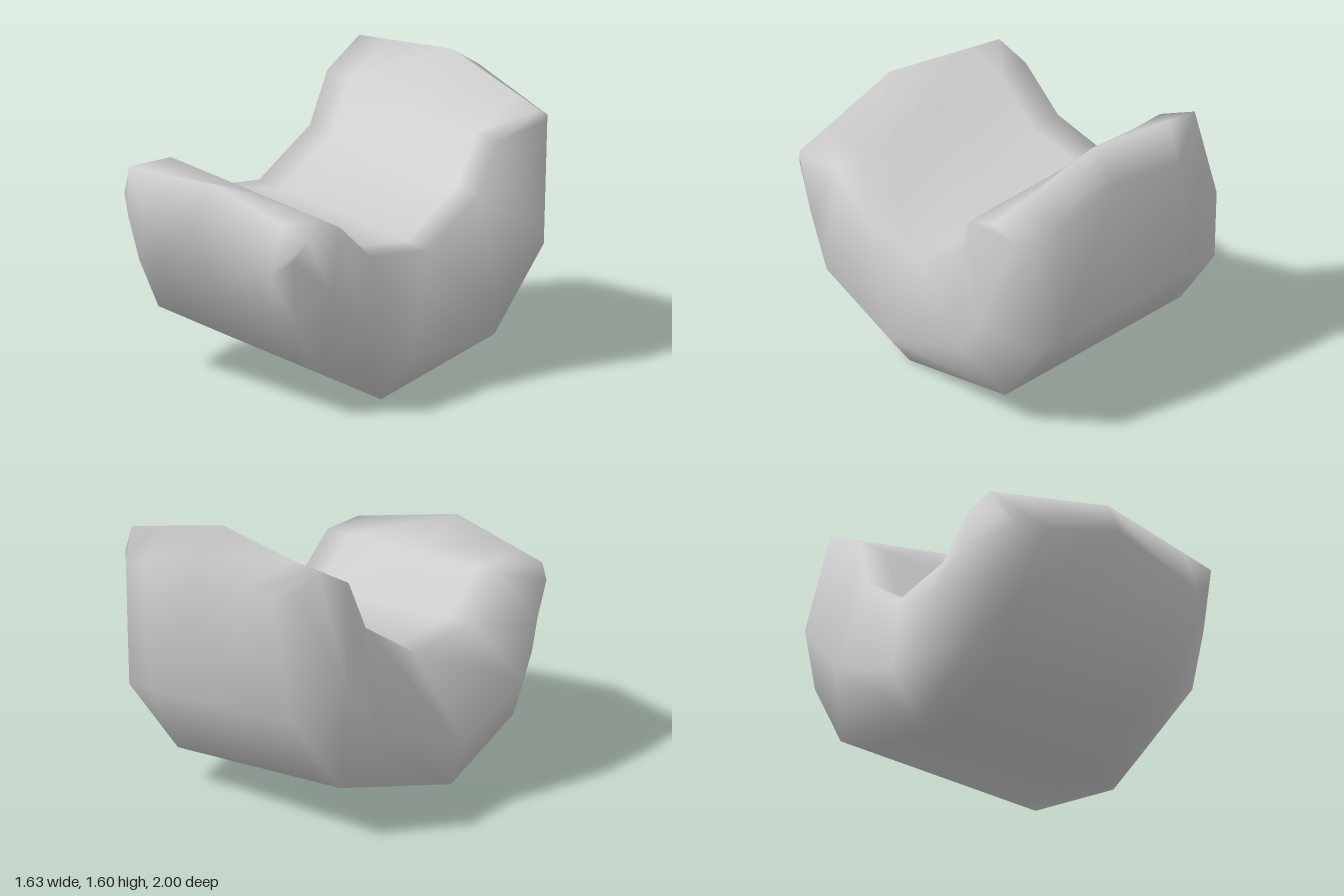
import * as THREE from 'three';

// Each station from the front tip round to the back tip:
// inner [z, y, halfWidth], side [z, y, halfWidth], outer [z, y, halfWidth],
// then the [dz, dy] offset of the crown on the inner and outer centre line.
const STATIONS = [
  { inner: [0.81, 1.08, 0.67], side: [0.87, 0.96, 0.63], outer: [0.93, 0.87, 0.53], crownIn: [0.06, 0.12], crownOut: [0.07, 0.13] },
  { inner: [0.55, 1.09, 0.63], side: [0.68, 0.80, 0.73], outer: [0.78, 0.59, 0.58] },
  { inner: [0.31, 0.88, 0.63], side: [0.49, 0.56, 0.80], outer: [0.61, 0.30, 0.59] },
  { inner: [-0.10, 0.835, 0.63], side: [0.08, 0.31, 0.75], outer: [0.13, 0.053, 0.59] },
  { inner: [-0.44, 1.065, 0.63], side: [-0.50, 0.55, 0.745], outer: [-0.66, 0.25, 0.59] },
  { inner: [-0.55, 1.34, 0.64], side: [-0.76, 0.86, 0.80], outer: [-0.975, 0.68, 0.59] },
  { inner: [-0.80, 1.47, 0.675], side: [-0.90, 1.38, 0.63], outer: [-1, 1.36, 0.53], crownIn: [0, 0.13], crownOut: [0, 0.12] },
];
const ACROSS = [1, 0.74, 0, -0.74, -1];
const N = 12; // points per ring
const ROLL = 0.09, PIVOT_Y = 0.72;

// Ring: inner face +x to -x, left-over side, outer face -x to +x, side
function ring({ inner, side, outer, crownIn = [0, 0], crownOut = [0, 0] }) {
  const row = ([z, y, w], [dz, dy], dir) => ACROSS.map((f) => {
    const k = 1 - Math.abs(f);
    return [f * w * dir, y + dy * k, z + dz * k];
  });
  return [
    ...row(inner, crownIn, 1),
    [-side[2], side[1], side[0]],
    ...row(outer, crownOut, -1),
    [side[2], side[1], side[0]],
  ];
}

function saddleGeometry() {
  const pos = [], index = [];
  for (const s of STATIONS) {
    // The whole body leans a little to one side
    for (const [x, y, z] of ring(s)) pos.push(x + ROLL * (y - PIVOT_Y), y - ROLL * x, z);
  }
  // Skin between neighbouring rings
  for (let j = 0; j < STATIONS.length - 1; j++) {
    for (let i = 0; i < N; i++) {
      const a = j * N + i, b = j * N + (i + 1) % N;
      index.push(a, a + N, b, b, a + N, b + N);
    }
  }
  // Caps on both tips
  const cap = (base, flip) => {
    const tri = (a, b, c) => index.push(base + a, base + (flip ? c : b), base + (flip ? b : c));
    for (let i = 0; i < 4; i++) {
      tri(i, i + 1, 10 - i);
      tri(i + 1, 9 - i, 10 - i);
    }
    tri(4, 5, 6);
    tri(0, 10, 11);
  };
  cap(0, false);
  cap((STATIONS.length - 1) * N, true);

  const geo = new THREE.BufferGeometry();
  geo.setAttribute('position', new THREE.Float32BufferAttribute(pos, 3));
  geo.setIndex(index);
  geo.computeVertexNormals();
  return geo;
}

export function createModel() {
  const group = new THREE.Group();
  const body = new THREE.Mesh(saddleGeometry(), new THREE.MeshStandardMaterial({ color: 0xcccccc }));
  body.name = 'curvedBody';
  group.add(body);
  return group;
}
